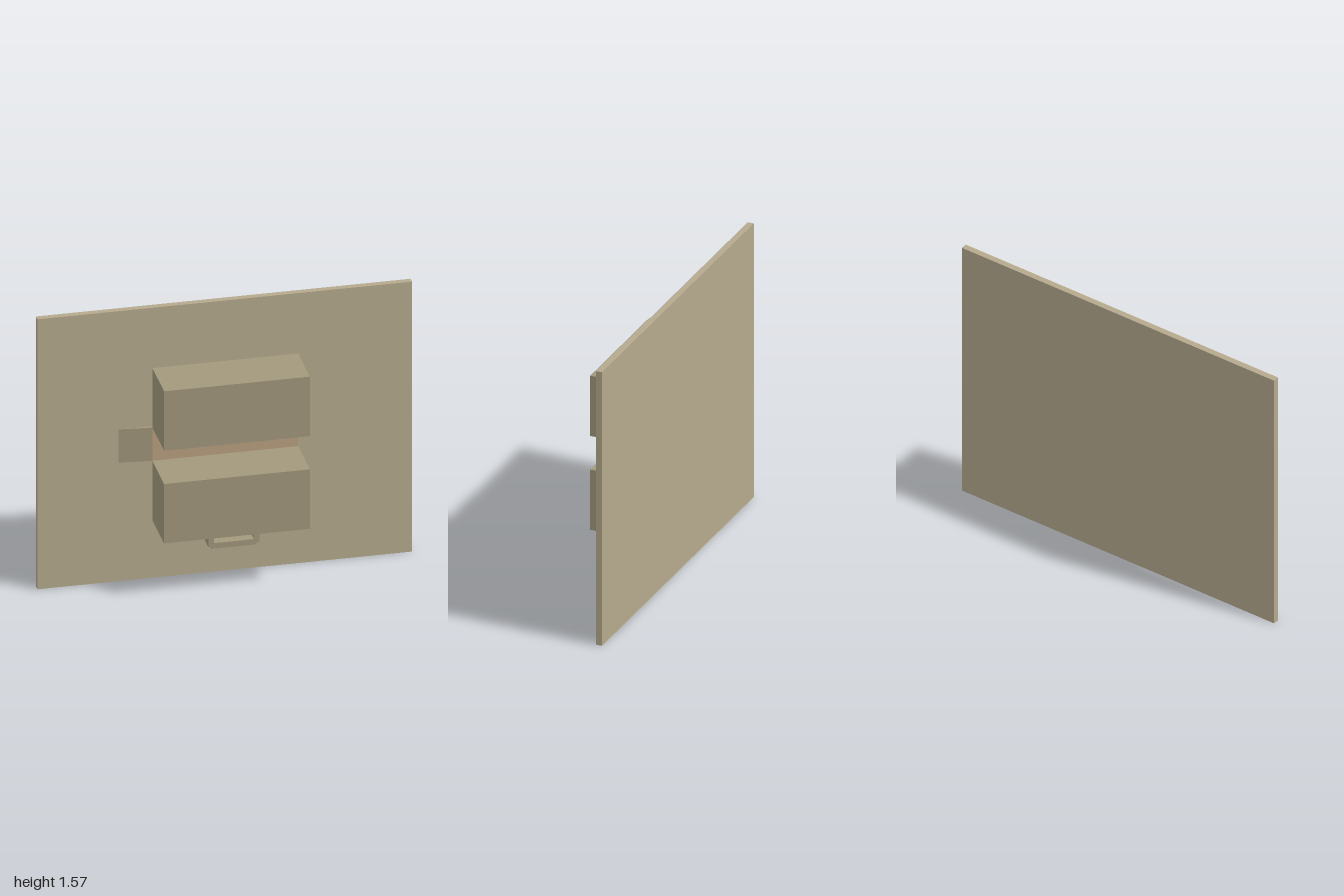
import * as THREE from 'three';

const material = (color) => new THREE.MeshStandardMaterial({ color, flatShading: true });

export function createModel() {
  const model = new THREE.Group();
  const boardTan = material(0xb5aa8d);
  const darkTan = material(0xa2987c);
  const copper = material(0xb8a080);

  const add = (name, geometry, mat) => {
    const mesh = new THREE.Mesh(geometry, mat);
    mesh.name = name;
    model.add(mesh);
    return mesh;
  };
  // Box given by its extents on each axis
  const addBox = (name, [x0, x1], [y0, y1], [z0, z1], mat) => {
    const mesh = add(name, new THREE.BoxGeometry(x1 - x0, y1 - y0, z1 - z0), mat);
    mesh.position.set((x0 + x1) / 2, (y0 + y1) / 2, (z0 + z1) / 2);
  };
  const polygon = (points) => new THREE.Shape(points.map(([x, y]) => new THREE.Vector2(x, y)));

  // Upright backing board
  addBox('backBoard', [-1, 1], [0, 1.57], [-0.165, -0.13], boardTan);

  // Two blocks standing just clear of the board
  const blockX = [-0.39, 0.388];
  const blockZ = [-0.113, 0.165];
  addBox('upperBlock', blockX, [0.882, 1.228], blockZ, darkTan);
  addBox('lowerBlock', blockX, [0.343, 0.689], blockZ, darkTan);

  // Thin strip on the board between the blocks
  addBox('middleStrip', blockX, [0.689, 0.882], [-0.13, -0.113], copper);

  // Ramp tapering from the strip down to the board
  const rampShape = polygon([[-0.567, 0.13], [-0.39, 0.113], [-0.39, 0.13]]);
  const ramp = new THREE.ExtrudeGeometry(rampShape, { depth: 0.193, bevelEnabled: false });
  ramp.rotateX(-Math.PI / 2);
  add('ramp', ramp, darkTan).position.y = 0.689;

  // U-shaped channel with notched lower corners under the lower block
  const channelShape = polygon([
    [-0.138, 0.343], [-0.138, 0.26], [-0.122, 0.26], [-0.122, 0.248],
    [0.119, 0.248], [0.119, 0.26], [0.135, 0.26], [0.135, 0.343],
    [0.104, 0.343], [0.104, 0.28], [-0.107, 0.28], [-0.107, 0.343],
  ]);
  const channel = new THREE.ExtrudeGeometry(channelShape, { depth: 0.208, bevelEnabled: false });
  add('channel', channel, darkTan).position.z = -0.113;

  // Panel closing the back of the channel
  addBox('channelPanel', [-0.107, 0.104], [0.28, 0.343], [-0.113, -0.098], copper);

  return model;
}
